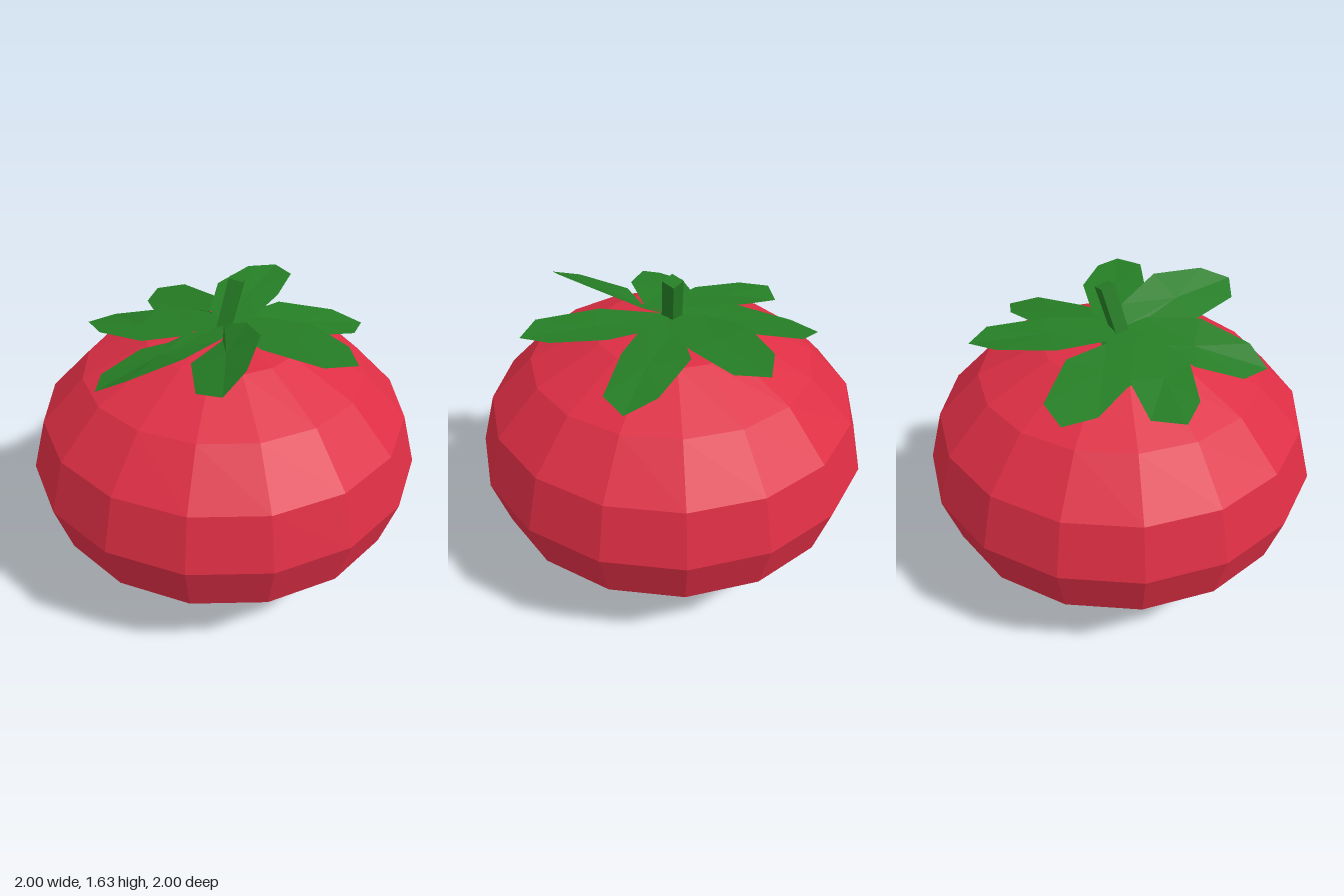
import * as THREE from 'three';

export function createModel() {
  const group = new THREE.Group();
  const red = new THREE.MeshStandardMaterial({ color: 0xdd2e44, flatShading: true });
  red.name = 'tomatoRed';
  const green = new THREE.MeshStandardMaterial({ color: 0x257d25, flatShading: true, side: THREE.DoubleSide });
  green.name = 'leafGreen';

  const add = (name, geometry, material) => {
    const mesh = new THREE.Mesh(geometry, material);
    mesh.name = name;
    group.add(mesh);
    return mesh;
  };

  // Fruit: a squashed faceted sphere
  const fruit = new THREE.SphereGeometry(1, 16, 8);
  fruit.scale(1, 0.695, 1);
  add('fruit', fruit, red).position.y = 0.695;

  // Stem: square prism sheared towards +x
  const stem = new THREE.CylinderGeometry(0.05, 0.05, 0.24, 4);
  const sp = stem.attributes.position;
  for (let i = 0; i < sp.count; i++) {
    const x = sp.getX(i), top = sp.getY(i) > 0;
    sp.setX(i, x + (top ? 0.075 : 0));
    if (top) sp.setY(i, 0.12 - x * 0.27);
  }
  add('stem', stem, green).position.y = 1.5;

  // Leaf: a fan of facets around the middle of its outline
  const leaf = (name, outline) => {
    const n = outline.length;
    const mid = [0, 1, 2].map(k => outline.reduce((s, p) => s + p[k], 0) / n);
    const v = [];
    outline.forEach((p, i) => v.push(...mid, ...p, ...outline[(i + 1) % n]));
    const g = new THREE.BufferGeometry();
    g.setAttribute('position', new THREE.Float32BufferAttribute(v, 3));
    g.computeVertexNormals();
    add(name, g, green);
  };

  // Outlines run counter-clockwise seen from above, so the faces look up
  leaf('backLeaf', [[0.1, 1.405, 0], [0.02, 1.4, -0.15], [0.165, 1.385, -0.32], [0.165, 1.34, -0.62],
    [0.05, 1.31, -0.72], [-0.08, 1.31, -0.61], [-0.15, 1.345, -0.41], [-0.3, 1.365, -0.15], [-0.1, 1.4, 0]]);
  leaf('backLeftLeaf', [[0.16, 1.42, 0.04], [0.38, 1.43, -0.06], [0.6, 1.435, -0.22], [0.62, 1.43, -0.38],
    [0.46, 1.445, -0.42], [0.2, 1.44, -0.34], [0.02, 1.41, -0.15], [0, 1.405, 0.02]]);
  leaf('frontLeftLeaf', [[0.05, 1.4, 0.12], [0.27, 1.36, 0.25], [0.56, 1.325, 0.335], [0.69, 1.31, 0.25],
    [0.62, 1.345, 0.1], [0.39, 1.39, -0.06], [0.1, 1.405, -0.03]]);
  leaf('frontLeaf', [[-0.04, 1.43, 0.35], [0.07, 1.44, 0.65], [0.22, 1.43, 0.71], [0.29, 1.44, 0.57],
    [0.29, 1.445, 0.31], [0.15, 1.42, 0.05], [0, 1.41, 0]]);
  leaf('frontRightLeaf', [[-0.1, 1.4, 0.13], [-0.33, 1.39, 0.21], [-0.47, 1.41, 0.46], [-0.43, 1.45, 0.6],
    [-0.28, 1.505, 0.56], [-0.07, 1.525, 0.38], [0.03, 1.46, 0.14], [0, 1.4, 0]]);
  leaf('rightLeaf', [[0, 1.405, 0], [-0.18, 1.375, -0.06], [-0.28, 1.355, -0.07], [-0.4, 1.33, -0.13], [-0.63, 1.285, -0.1],
    [-0.725, 1.285, 0.02], [-0.62, 1.35, 0.12], [-0.36, 1.41, 0.19], [-0.1, 1.41, 0.13]]);
  leaf('backRightLeaf', [[-0.1, 1.4, -0.05], [-0.15, 1.37, -0.38], [-0.3, 1.31, -0.57], [-0.46, 1.315, -0.56],
    [-0.48, 1.33, -0.4], [-0.38, 1.36, -0.15], [-0.2, 1.39, -0.02]]);

  return group;
}
